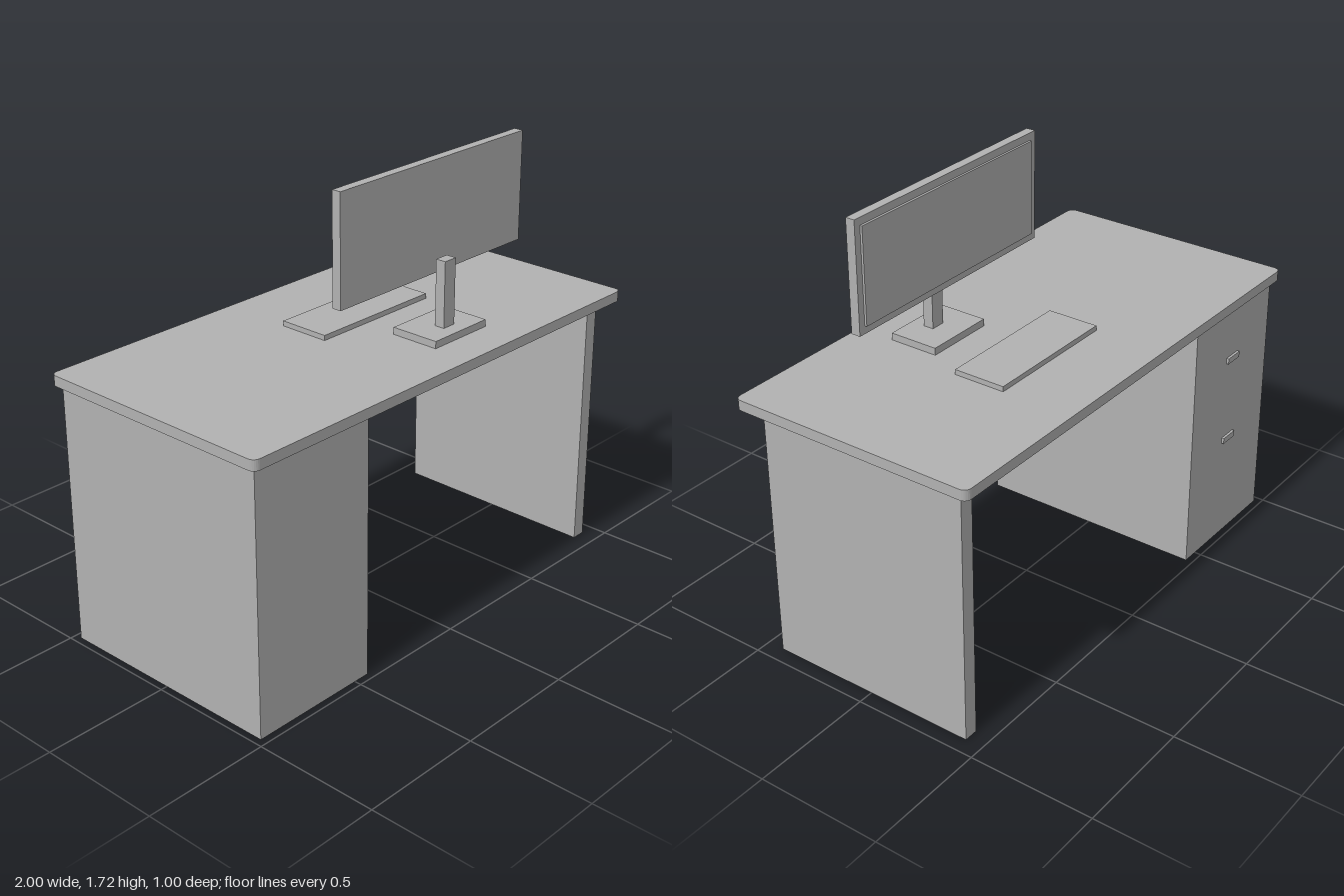
import * as THREE from 'three';

export function createModel() {
  const desk = new THREE.Group();
  desk.name = 'desk';
  const grey = new THREE.MeshStandardMaterial({ color: 0xb2b2b2 });
  grey.name = 'plain grey';

  const add = (name, geometry) => {
    const mesh = new THREE.Mesh(geometry, grey);
    mesh.name = name;
    desk.add(mesh);
    return mesh;
  };
  // Box given by its lower and upper limits on each axis
  const box = (name, [x0, x1], [y0, y1], [z0, z1]) =>
    add(name, new THREE.BoxGeometry(x1 - x0, y1 - y0, z1 - z0))
      .position.set((x0 + x1) / 2, (y0 + y1) / 2, (z0 + z1) / 2);

  const under = 1.032, top = 1.073;

  // Desktop slab with small rounded corners
  const w = 1, d = 0.5, r = 0.027;
  const outline = new THREE.Shape();
  outline.absarc(w - r, d - r, r, 0, Math.PI / 2);
  outline.absarc(-w + r, d - r, r, Math.PI / 2, Math.PI);
  outline.absarc(-w + r, -d + r, r, Math.PI, Math.PI * 1.5);
  outline.absarc(w - r, -d + r, r, Math.PI * 1.5, Math.PI * 2);
  const slab = new THREE.ExtrudeGeometry(outline, { depth: top - under, bevelEnabled: false, curveSegments: 3 });
  slab.rotateX(-Math.PI / 2);
  add('desktop', slab).position.y = under;

  // Supports: drawer cabinet on one side, panel leg on the other
  box('drawerCabinet', [-0.973, -0.433], [0, under], [-0.472, 0.472]);
  box('panelLeg', [0.882, 0.939], [0, under], [-0.43, 0.43]);

  // Drawer handles on the sitting side
  for (const [name, y] of [['upperHandle', 0.803], ['lowerHandle', 0.445]]) {
    box(name, [-0.743, -0.663], [y - 0.012, y + 0.012], [-0.482, -0.472]);
  }

  // Monitor and its stand
  box('monitorCase', [-0.289, 0.711], [1.288, 1.717], [0.174, 0.211]);
  box('monitorScreen', [-0.257, 0.684], [1.318, 1.688], [0.165, 0.174]);
  box('standBase', [0.069, 0.354], [top, 1.101], [0.143, 0.343]);
  box('standPost', [0.182, 0.241], [1.101, 1.359], [0.244, 0.286]);

  // Keyboard
  box('keyboard', [-0.144, 0.423], [top, 1.093], [-0.211, -0.002]);

  return desk;
}
